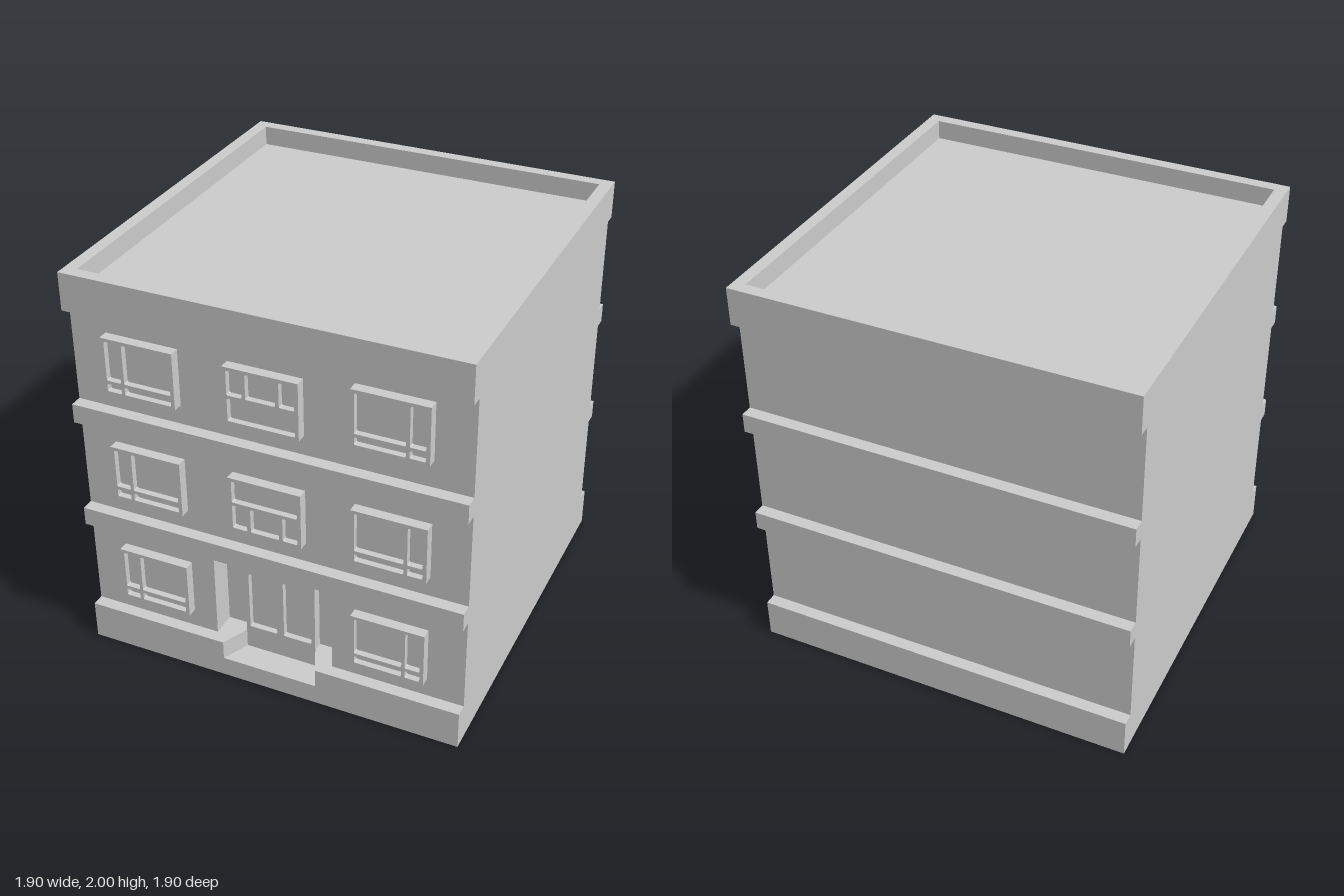
import * as THREE from 'three';

const material = new THREE.MeshStandardMaterial({ color: 0xcccccc });
const OUT = 0.95, WALL = 0.89;      // half depth of bands and of walls
const RECESS_Z = 0.77;              // back of the entrance recess
const FRAME = 0.05, GLASS = 0.02;   // frame depth, pane depth from the wall

function addMesh(parent, geometry, name) {
  const mesh = new THREE.Mesh(geometry, material);
  mesh.name = name;
  parent.add(mesh);
  return mesh;
}

function rectShape(x0, y0, x1, y1) {
  return new THREE.Shape([[x0, y0], [x1, y0], [x1, y1], [x0, y1]].map(p => new THREE.Vector2(...p)));
}

// Horizontal slab of the building: a plan (x, z) extruded from y0 to y1.
// cut lists extra plan points along the front edge, running from +x to -x.
function slab(parent, name, y0, y1, depth, cut = [], pocket = false) {
  const plan = [[-OUT, depth], ...[...cut].reverse(), [OUT, depth], [OUT, -depth], [-OUT, -depth]];
  const shape = new THREE.Shape(plan.map(([x, z]) => new THREE.Vector2(x, -z)));
  if (pocket) shape.holes.push(rectShape(-WALL, -WALL, WALL, WALL));
  const geometry = new THREE.ExtrudeGeometry(shape, { depth: y1 - y0, bevelEnabled: false });
  geometry.rotateX(-Math.PI / 2).translate(0, y0, 0);
  addMesh(parent, geometry, name);
}

// Slightly rounded opening for one pane
function paneHole([x0, y0, x1, y1], r = 0.007) {
  const p = new THREE.Path();
  p.moveTo(x0 + r, y0).lineTo(x1 - r, y0);
  p.quadraticCurveTo(x1, y0, x1, y0 + r).lineTo(x1, y1 - r);
  p.quadraticCurveTo(x1, y1, x1 - r, y1).lineTo(x0 + r, y1);
  p.quadraticCurveTo(x0, y1, x0, y1 - r).lineTo(x0, y0 + r);
  p.quadraticCurveTo(x0, y0, x0 + r, y0);
  return p;
}

// Frame with pane openings and a sunken sheet behind them
function framedPanel(name, [x0, y0, x1, y1], panes) {
  const group = new THREE.Group();
  group.name = name;
  const shape = rectShape(x0, y0, x1, y1);
  panes.forEach(p => shape.holes.push(paneHole(p)));
  addMesh(group, new THREE.ExtrudeGeometry(shape, { depth: FRAME, bevelEnabled: false, curveSegments: 3 }), name + 'Frame');
  const m = 0.01;
  const sheet = new THREE.BoxGeometry(x1 - x0 - 2 * m, y1 - y0 - 2 * m, GLASS);
  sheet.translate((x0 + x1) / 2, (y0 + y1) / 2, GLASS / 2);
  addMesh(group, sheet, name + 'Panes');
  return group;
}

// Pane layouts, relative to the window centre
const W = 0.178, H = 0.141;
const sidePanes = [
  [-0.16, -0.071, -0.088, 0.125], [-0.072, -0.071, 0.16, 0.125],
  [-0.16, -0.125, -0.088, -0.087], [-0.072, -0.125, 0.16, -0.087],
];
const centrePanes = [
  [-0.16, 0.003, -0.088, 0.125], [-0.07, 0.003, 0.07, 0.125], [0.088, 0.003, 0.16, 0.125],
  [-0.16, -0.125, 0.16, -0.013],
];
const mirrorX = panes => panes.map(([a, b, c, d]) => [-c, b, -a, d]);
const flipY = panes => panes.map(([a, b, c, d]) => [a, -d, c, -b]);

export function createModel() {
  const model = new THREE.Group();
  model.name = 'apartmentBuilding';

  // Plinth with the splayed entrance step cut into it
  slab(model, 'plinth', 0, 0.1, OUT);
  slab(model, 'stepLevel', 0.1, 0.195, OUT,
    [[0.24, OUT], [0.18, RECESS_Z + FRAME], [0.18, RECESS_Z], [-0.18, RECESS_Z], [-0.18, RECESS_Z + FRAME], [-0.24, OUT]]);

  // Storeys separated by projecting bands
  slab(model, 'groundFloorWall', 0.195, 0.675, WALL,
    [[0.3, WALL], [0.3, RECESS_Z], [-0.3, RECESS_Z], [-0.3, WALL]]);
  slab(model, 'lowerBand', 0.675, 0.768, OUT);
  slab(model, 'middleFloorWall', 0.768, 1.242, WALL);
  slab(model, 'upperBand', 1.242, 1.338, OUT);
  slab(model, 'topFloorWall', 1.338, 1.815, WALL);

  // Flat roof inside a parapet
  slab(model, 'roof', 1.815, 1.905, OUT);
  slab(model, 'parapet', 1.905, 2, OUT, [], true);

  // Windows: x, y of centre and layout
  const left = sidePanes, right = mirrorX(sidePanes);
  const windows = [
    [-0.597, 0.432, left], [0.592, 0.432, right],
    [-0.597, 1.01, left], [0, 1.01, flipY(centrePanes)], [0.592, 1.01, right],
    [-0.597, 1.575, left], [0, 1.575, centrePanes], [0.592, 1.612, right],
  ];
  for (const [x, y, panes] of windows) {
    const win = framedPanel('window', [-W, -H, W, H], panes);
    win.position.set(x, y, WALL);
    model.add(win);
  }

  // Double door with two lights above
  const doorPanes = [];
  for (const s of [[-0.16, -0.018], [0.018, 0.16]]) {
    doorPanes.push([s[0], 0.225, s[1], 0.537], [s[0], 0.563, s[1], 0.657]);
  }
  const door = framedPanel('door', [-0.18, 0.1, 0.18, 0.675], doorPanes);
  door.position.z = RECESS_Z;
  model.add(door);

  return model;
}
